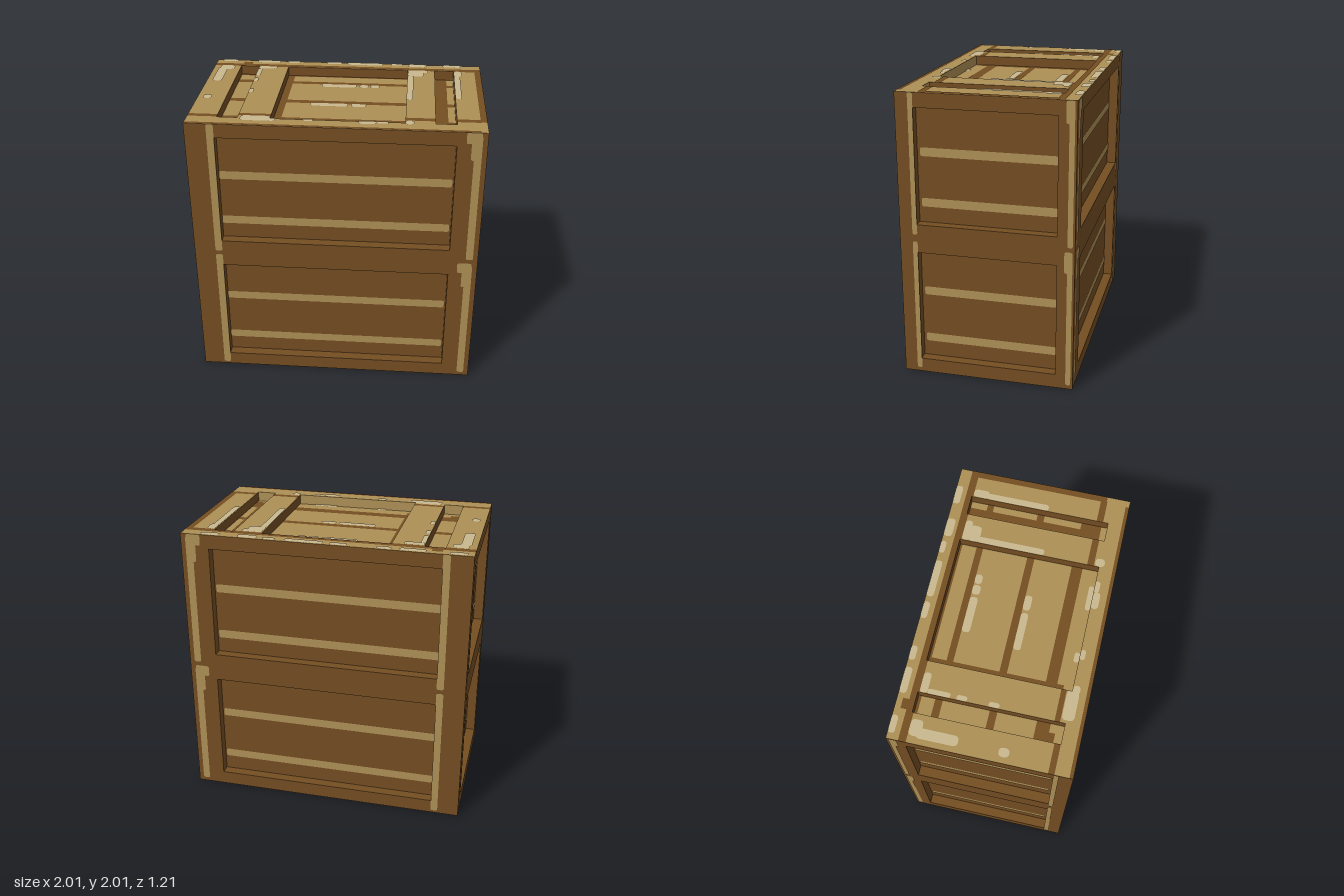
import * as THREE from 'three';

const brown = new THREE.MeshStandardMaterial({ color: 0x754e22 });
const tan = new THREE.MeshStandardMaterial({ color: 0xae9056 });
const pale = new THREE.MeshStandardMaterial({ color: 0xc9b990 });
brown.name = 'brown wood';
tan.name = 'worn tan wood';
pale.name = 'pale scuffs';

const T = 0.07; // depth of every recess

function mesh(name, geometry, material, parent) {
  const m = new THREE.Mesh(geometry, material);
  m.name = name;
  parent.add(m);
  return m;
}

// Rectangle with corners rounded by r, given as x0, x1, y0, y1
function rect([x0, x1, y0, y1], r = 0, Type = THREE.Shape) {
  r = Math.min(r, (x1 - x0) / 2, (y1 - y0) / 2);
  const s = new Type();
  s.moveTo(x0 + r, y0);
  s.lineTo(x1 - r, y0);
  if (r) s.quadraticCurveTo(x1, y0, x1, y0 + r);
  s.lineTo(x1, y1 - r);
  if (r) s.quadraticCurveTo(x1, y1, x1 - r, y1);
  s.lineTo(x0 + r, y1);
  if (r) s.quadraticCurveTo(x0, y1, x0, y1 - r);
  s.lineTo(x0, y0 + r);
  if (r) s.quadraticCurveTo(x0, y0, x0 + r, y0);
  return s;
}

// Board of thickness T with openings, outer face at local z = 0
function frame(outer, holes) {
  const s = rect(outer);
  for (const h of holes) s.holes.push(rect(h, 0, THREE.Path));
  return new THREE.ExtrudeGeometry(s, { depth: T, bevelEnabled: false }).translate(0, 0, -T);
}

// Painted patches lying at local height z
function patches(name, rects, z, material, parent, r = 0.015) {
  const g = new THREE.ShapeGeometry(rects.map((q) => rect(q, r)), 4);
  return mesh(name, g.translate(0, 0, z), material, parent);
}

const flipX = (rects) => rects.map(([a, b, c, d]) => [-b, -a, c, d]);
const flipY = (rects) => rects.map(([a, b, c, d]) => [a, b, -d, -c]);

// One upright side: frame with two openings and worn edges
function side(name, half, open, edgeWear, slatWear, mirrored) {
  const g = new THREE.Group();
  g.name = name;
  const holes = [[-open, open, 0.1, 0.9], [-open, open, 1.1, 1.9]];
  mesh(name + 'Frame', frame([-half, half, 0, 2 - T], holes), brown, g);
  const m = mirrored ? flipX : (q) => q;
  patches(name + 'EdgeWear', m(edgeWear), 0.003, tan, g);
  patches(name + 'SlatWear', m(slatWear), -T + 0.003, tan, g);
  return g;
}

export function createModel() {
  const model = new THREE.Group();
  model.name = 'crate';

  // Core whose faces are the recessed panels
  const core = new THREE.BoxGeometry(2 - 2 * T, 2 - T, 1.2 - 2 * T).translate(0, 1 - T / 2, 0);
  mesh('corePanels', core, [brown, brown, tan, brown, brown, brown], model);

  // Wide sides
  const wideEdge = [
    [-0.85, -0.8, 0.02, 0.99], [-0.85, -0.8, 1.02, 2],
  ];
  const narrowEdge = [
    [-0.51, -0.475, 0.03, 0.98], [-0.51, -0.475, 1.03, 2],
  ];
  for (const y of [0, 1]) {
    wideEdge.push([0.915, 0.965, y + 0.03, y + 0.98], [0.895, 0.96, y + 0.8, y + 0.99], [0.86, 0.96, y + 0.92, y + 1]);
    narrowEdge.push([0.55, 0.585, y + 0.03, y + 0.98], [0.53, 0.585, y + 0.85, y + 1]);
  }
  const slats = (a, b) => [0.21, 0.565, 1.21, 1.56].map((y) => [a, b, y, y + 0.06]);
  const wideSlats = slats(-0.8, 0.79);
  const narrowSlats = slats(-0.46, 0.47);

  const front = side('front', 1, 0.8, wideEdge, wideSlats, false);
  front.position.z = 0.6;
  const back = side('back', 1, 0.8, wideEdge, wideSlats, true);
  back.position.z = -0.6;
  back.rotation.y = Math.PI;

  // Narrow sides, fitted between the wide ones
  const left = side('left', 0.6 - T, 0.48, narrowEdge, narrowSlats, false);
  left.position.x = 1;
  left.rotation.y = Math.PI / 2;
  const right = side('right', 0.6 - T, 0.48, narrowEdge, narrowSlats, true);
  right.position.x = -1;
  right.rotation.y = -Math.PI / 2;
  model.add(front, back, left, right);

  // Lid with three openings and two cross boards
  const lid = new THREE.Group();
  lid.name = 'lid';
  lid.position.y = 2;
  lid.rotation.x = -Math.PI / 2;
  model.add(lid);
  const openings = [[-0.8, -0.66, -0.48, 0.48], [-0.44, 0.46, -0.48, 0.48], [0.66, 0.8, -0.48, 0.48]];
  mesh('lidFrame', frame([-1, 1, -0.6, 0.6], openings), [tan, brown], lid);

  // Light inner wall at the front of each opening
  for (const [a, b] of openings) {
    const wall = mesh('openingWall', new THREE.PlaneGeometry(b - a, T), tan, lid);
    wall.rotation.x = -Math.PI / 2;
    wall.position.set((a + b) / 2, -0.477, -T / 2);
  }

  // Lid details, listed as x0, x1, z0, z1
  patches('lidGrooves', flipY([
    [-1, 1, -0.52, -0.48], [-1, -0.8, -0.48, -0.47], [-0.66, -0.44, -0.48, -0.47],
    [0.46, 0.66, -0.48, -0.47], [0.8, 1, -0.48, -0.47],
    [-1, 0.95, 0.575, 0.6], [0.955, 1, -0.47, 0.44], [-1, -0.8, 0.44, 0.48],
    [-0.66, -0.44, 0.41, 0.445], [0.46, 0.66, 0.4, 0.445], [0.8, 0.96, 0.4, 0.445],
    [-0.79, -0.72, -0.56, -0.5],
  ]), 0.002, brown, lid, 0);
  patches('lidFloorGrooves', flipY([
    [-0.8, -0.66, -0.48, -0.46], [-0.8, -0.66, -0.37, -0.32], [-0.8, -0.66, -0.01, 0.04],
    [-0.8, -0.66, 0.3, 0.39], [-0.8, -0.72, 0.38, 0.43],
    [-0.44, -0.39, -0.48, 0.42], [-0.4, 0.46, -0.48, -0.465], [-0.4, 0.46, -0.365, -0.32],
    [-0.4, 0.46, -0.01, 0.04], [-0.4, 0.46, 0.3, 0.375],
    [0.66, 0.75, -0.48, 0.44], [0.74, 0.8, -0.365, -0.32], [0.74, 0.8, -0.01, 0.04], [0.74, 0.8, 0.3, 0.44],
  ]), -T + 0.002, brown, lid, 0);
  patches('lidScuffs', flipY([
    [-0.96, -0.84, -0.6, -0.555], [-0.69, -0.51, -0.6, -0.55], [-0.46, -0.36, -0.6, -0.555],
    [-0.16, -0.04, -0.6, -0.555], [0, 0.27, -0.6, -0.55], [0.33, 0.42, -0.6, -0.56],
    [0.46, 0.6, -0.6, -0.54], [0.72, 0.86, -0.6, -0.55],
    [-0.95, -0.84, -0.47, -0.39], [-0.96, -0.89, -0.42, -0.15], [-0.96, -0.9, 0.11, 0.18],
    [-0.66, -0.52, -0.47, -0.42], [-0.66, -0.625, -0.42, -0.27], [-0.66, -0.625, -0.23, -0.16], [-0.66, -0.625, -0.02, 0.05],
    [0.46, 0.61, -0.47, -0.42], [0.46, 0.58, -0.43, -0.35], [0.46, 0.505, -0.36, 0.1],
    [0.8, 0.86, -0.47, -0.36], [0.8, 0.845, -0.37, 0.06],
    [-0.64, -0.44, 0.45, 0.53], [-0.46, -0.4, 0.48, 0.53], [-0.22, -0.15, 0.48, 0.515],
    [0.15, 0.27, 0.48, 0.53], [0.27, 0.35, 0.48, 0.515], [0.46, 0.52, 0.45, 0.515],
  ]), 0.005, pale, lid, 0.03);
  patches('lidFloorScuffs', flipY([
    [-0.17, 0.09, -0.32, -0.265], [0.11, 0.18, -0.32, -0.265], [0.19, 0.26, -0.32, -0.27],
    [-0.22, 0.05, 0.04, 0.09], [0.07, 0.18, 0.04, 0.09],
    [-0.22, -0.15, 0.445, 0.48], [0.16, 0.34, 0.445, 0.48],
  ]), -T + 0.005, pale, lid, 0.025);

  // Underside with faint worn dashes
  const base = new THREE.Group();
  base.name = 'underside';
  base.rotation.x = Math.PI / 2;
  model.add(base);
  patches('underEdgeWear', [
    [0.96, 0.98, -0.42, -0.2], [0.96, 0.98, -0.15, 0.2], [0.96, 0.98, 0.28, 0.5],
    [-0.85, -0.83, -0.48, -0.1], [-0.85, -0.83, 0, 0.22], [-0.85, -0.83, 0.32, 0.57],
    [0.3, 0.55, -0.57, -0.55], [-0.3, -0.1, -0.57, -0.55], [-0.65, -0.42, -0.57, -0.55],
    [0.55, 0.65, -0.2, -0.18], [0.25, 0.36, -0.18, -0.16], [0.5, 0.6, 0.1, 0.12], [0.1, 0.2, -0.1, -0.08],
  ], 0.003, tan, base, 0.01);
  const diagonal = [];
  for (let i = 0; i < 6; i++) diagonal.push([-0.7 + i * 0.25, -0.51 + i * 0.25, -0.01, 0.01]);
  const streak = patches('underDiagonalWear', diagonal, 0.003, tan, base, 0.01);
  streak.rotation.z = Math.atan2(0.83, 1.17);
  streak.position.set(-0.13, 0.03, 0);

  return model;
}
